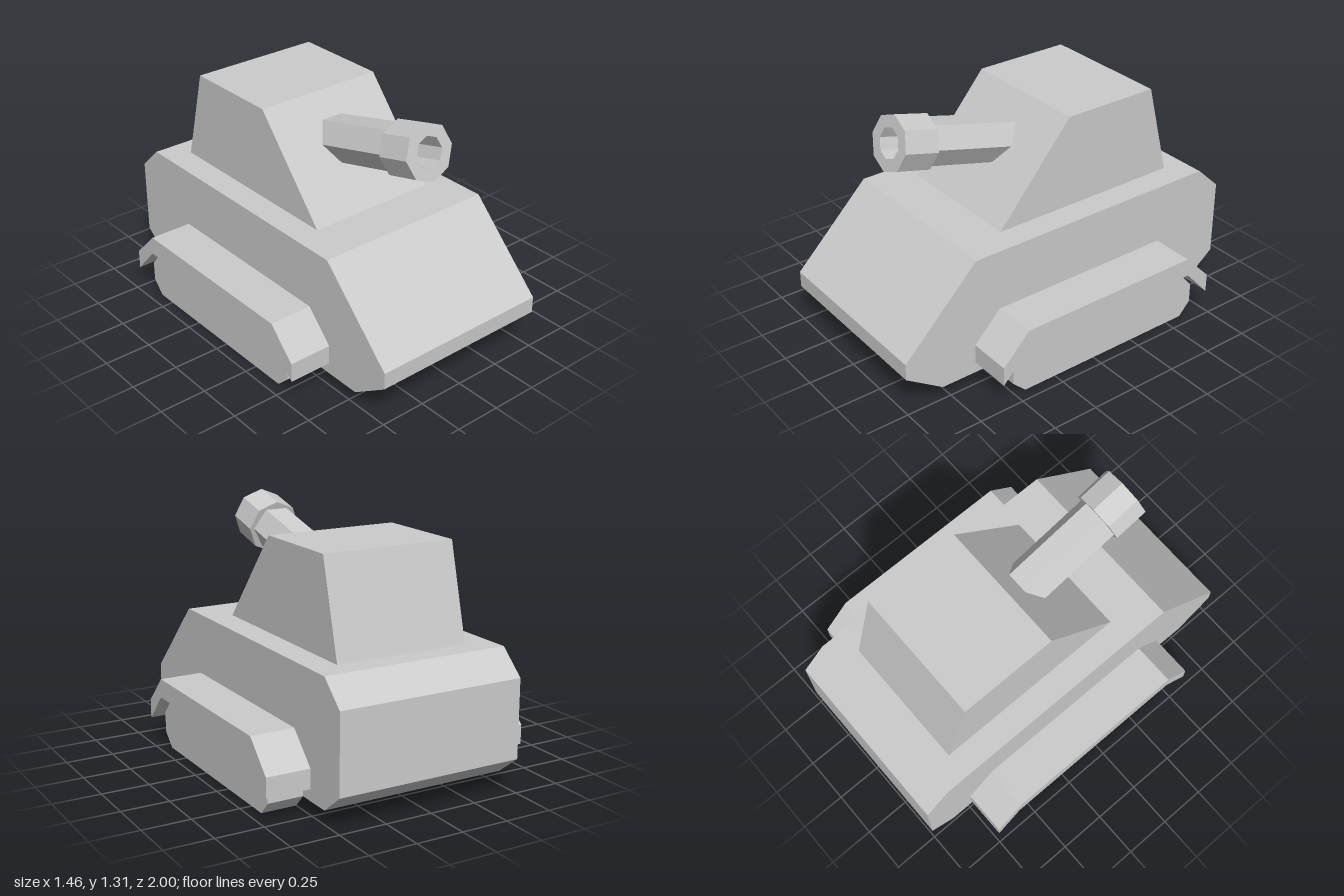
import * as THREE from 'three';

const material = new THREE.MeshStandardMaterial({ color: 0xcccccc, flatShading: true });

// Extrudes a side profile of [z, y] points across the width from x0 to x1.
function sideExtrusion(name, profile, x0, x1) {
  const shape = new THREE.Shape(profile.map(([z, y]) => new THREE.Vector2(z, y)));
  const geometry = new THREE.ExtrudeGeometry(shape, { depth: x1 - x0, bevelEnabled: false });
  geometry.rotateY(-Math.PI / 2).translate(x1, 0, 0);
  const mesh = new THREE.Mesh(geometry, material);
  mesh.name = name;
  return mesh;
}

// Regular polygon with a corner straight up.
function polygon(radius, sides) {
  return Array.from({ length: sides }, (_, i) => {
    const a = Math.PI / 2 + (i / sides) * Math.PI * 2;
    return new THREE.Vector2(Math.cos(a) * radius, Math.sin(a) * radius);
  });
}

export function createModel() {
  const model = new THREE.Group();
  model.name = 'tank';

  // Body
  const hull = [[0.795, 0.07], [1, 0.207], [1, 0.295], [0.585, 0.71],
    [-0.865, 0.71], [-1, 0.585], [-1, 0.175], [-0.865, 0.07]];
  const turret = [[0.34, 0.71], [-0.08, 1.205], [-0.612, 1.205], [-0.74, 0.71]];
  model.add(sideExtrusion('hull', hull, -0.5, 0.5));
  model.add(sideExtrusion('turret', turret, -0.36, 0.36));

  // Tracks and the bent guards above them, on both sides
  const track = [[0.435, 0], [0.51, 0.07], [0.51, 0.18], [0.44, 0.25],
    [-0.6, 0.25], [-0.665, 0.175], [-0.665, 0.07], [-0.6, 0]];
  const guard = [[0.6, 0.13], [0.6, 0.232], [0.45, 0.385], [-0.585, 0.385],
    [-0.737, 0.232], [-0.737, 0.13], [-0.595, 0.283], [0.455, 0.283]];
  for (const [side, s] of [['left', 1], ['right', -1]]) {
    const span = (a, b) => (s > 0 ? [a, b] : [-b, -a]);
    model.add(sideExtrusion(side + 'Track', track, ...span(0.5, 0.687)));
    model.add(sideExtrusion(side + 'TrackGuard', guard, ...span(0.5, 0.732)));
  }

  // Gun, tilted upwards; its origin is the back of the muzzle
  const gun = new THREE.Group();
  gun.name = 'gun';
  gun.position.set(0, 1.118, 0.54);
  gun.rotation.x = -0.255;

  const barrelLength = 0.65;
  const barrel = new THREE.Mesh(
    new THREE.CylinderGeometry(0.122, 0.122, barrelLength, 6, 1, false, Math.PI / 2)
      .rotateX(Math.PI / 2).translate(0, 0, 0.005 - barrelLength / 2), material);
  barrel.name = 'barrel';

  // Octagonal muzzle ring with an open bore
  const ring = new THREE.Shape(polygon(0.146, 8));
  ring.holes.push(new THREE.Path(polygon(0.081, 8)));
  const muzzle = new THREE.Mesh(
    new THREE.ExtrudeGeometry(ring, { depth: 0.19, bevelEnabled: false }), material);
  muzzle.name = 'muzzle';

  gun.add(barrel, muzzle);
  model.add(gun);
  return model;
}
